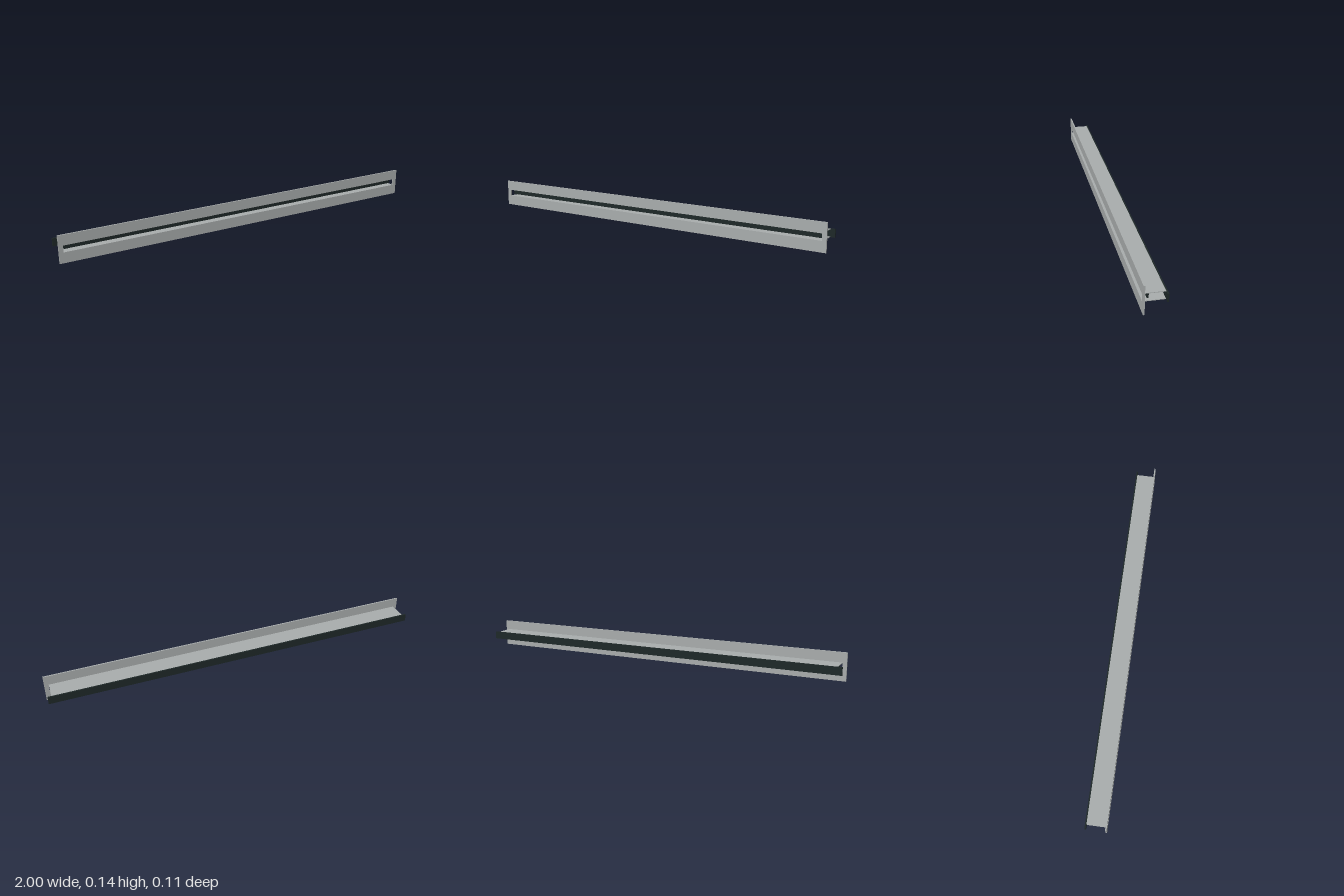
import * as THREE from 'three';

export function createModel() {
  const model = new THREE.Group();
  const aluminium = new THREE.MeshStandardMaterial({ name: 'grey aluminium', color: 0xa9adad });
  const black = new THREE.MeshStandardMaterial({ name: 'dark slate', color: 0x1e2828 });

  const box = (name, material, x, [y0, y1], [z0, z1]) => {
    const mesh = new THREE.Mesh(new THREE.BoxGeometry(2 * x, y1 - y0, z1 - z0), material);
    mesh.position.set(0, (y0 + y1) / 2, (z0 + z1) / 2);
    mesh.name = name;
    model.add(mesh);
  };
  const rect = (path, x, y0, y1) =>
    path.moveTo(-x, y0).lineTo(x, y0).lineTo(x, y1).lineTo(-x, y1).closePath();

  // Front flange with one long slot
  const face = rect(new THREE.Shape(), 1, 0, 0.141);
  face.holes.push(rect(new THREE.Path(), 0.978, 0.054, 0.088));
  const flange = new THREE.Mesh(
    new THREE.ExtrudeGeometry(face, { depth: 0.007, bevelEnabled: false }), aluminium);
  flange.position.z = 0.048;
  flange.name = 'frontFlange';
  model.add(flange);

  // Channel walls running back from the slot
  box('upperWall', aluminium, 0.978, [0.088, 0.091], [-0.046, 0.048]);
  box('lowerWall', aluminium, 0.978, [0.051, 0.054], [-0.046, 0.048]);

  // Dark back strip and the bar floating inside the channel
  box('backStrip', black, 1, [0.051, 0.091], [-0.053, -0.046]);
  box('innerBar', black, 0.97, [0.061, 0.082], [0.025, 0.033]);

  return model;
}
